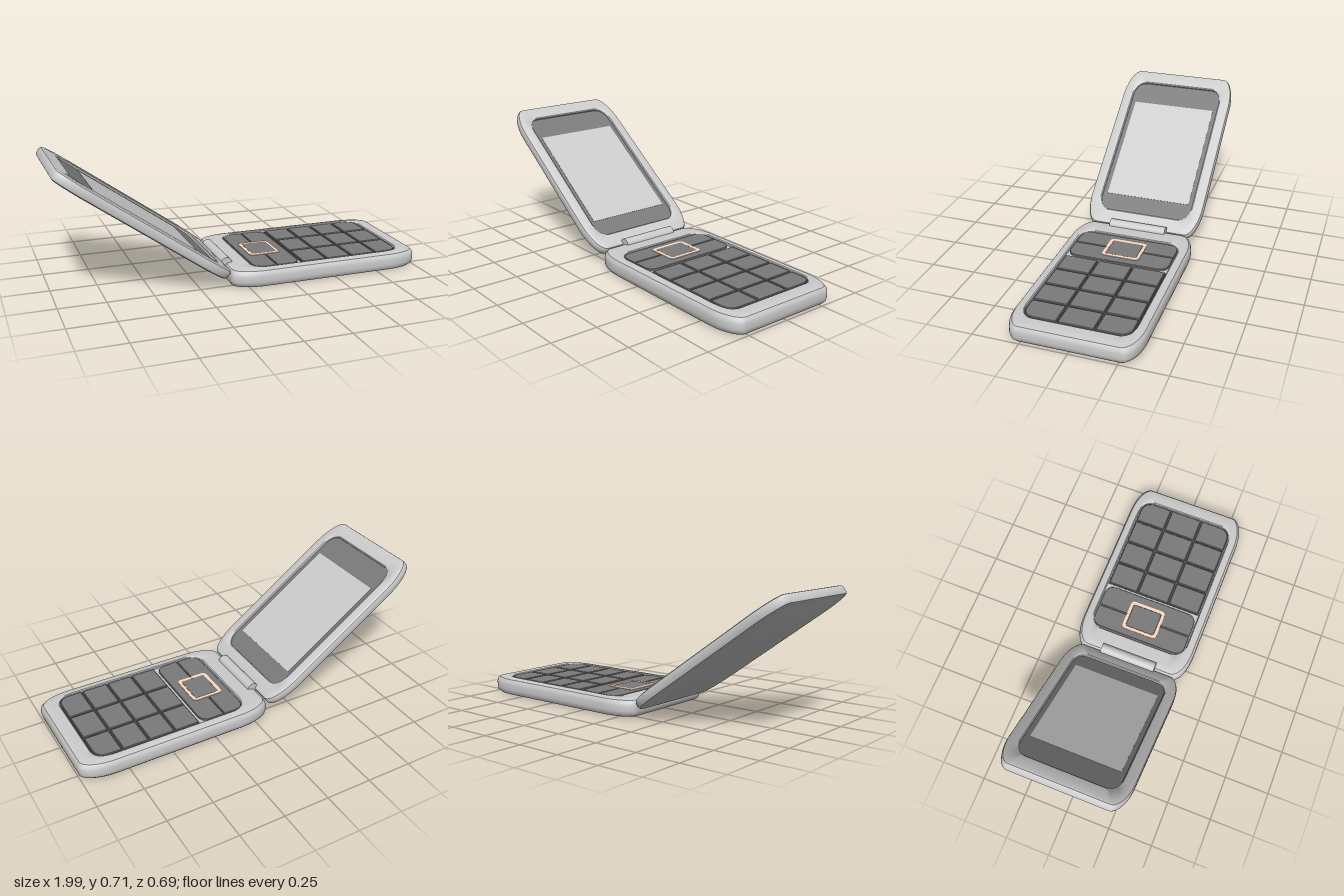
import * as THREE from 'three';
import { toCreasedNormals } from 'three/addons/utils/BufferGeometryUtils.js';

const mat = (color) => new THREE.MeshStandardMaterial({ color });
const BODY = mat(0xcccccc), DARK = mat(0x7a7a7a), GAP = mat(0x555555), GLASS = mat(0xdadada), TRIM = mat(0xffd9bf);

function add(parent, name, geometry, material) {
  const mesh = new THREE.Mesh(geometry, material);
  mesh.name = name;
  parent.add(mesh);
  return mesh;
}

// Rounded outline with elliptical corners, as a ring of [x, z]
function outline({ hx, hz, rx, rz, cx = 0 }) {
  const ring = [], steps = 10;
  for (let q = 0; q < 4; q++) {
    const sx = q === 0 || q === 3 ? 1 : -1, sz = q < 2 ? 1 : -1;
    for (let i = 0; i <= steps; i++) {
      const a = (q + i / steps) * Math.PI / 2;
      ring.push([cx + sx * (hx - rx) + rx * Math.cos(a), sz * (hz - rz) + rz * Math.sin(a)]);
    }
  }
  return ring;
}

// Case half: rounded slab with a shallow pocket sunk in its top
function caseHalf(o, edge, pocket, top, depth) {
  const point = { hx: 0, hz: 0, rx: 0, rz: 0, cx: 0 };
  const hole = (grow) => ({ ...pocket, hx: pocket.hx + grow, hz: pocket.hz + grow });
  const levels = [
    [point, 0],
    ...edge.map(([inset, y]) => [{ ...o, hx: o.hx - inset, hz: o.hz - inset }, y]),
    [hole(0.005), top], [hole(0), top - 0.004], [hole(0), top - depth],
    [{ ...point, cx: pocket.cx || 0 }, top - depth],
  ];
  const position = [], index = [];
  const n = outline(o).length;
  levels.forEach(([ring, y], k) => {
    outline(ring).forEach(([x, z], i) => {
      position.push(x, y, z);
      if (k === levels.length - 1) return;
      const a = k * n + i, b = k * n + (i + 1) % n;
      index.push(a, a + n, b, b, a + n, b + n);
    });
  });
  const g = new THREE.BufferGeometry();
  g.setAttribute('position', new THREE.Float32BufferAttribute(position, 3));
  g.setIndex(index);
  return toCreasedNormals(g, 0.6);
}

// Flat rounded rectangle; corner radii run x0z0, x1z0, x1z1, x0z1
function rectPath(path, x0, x1, z0, z1, [a, b, c, d]) {
  path.moveTo(x0, -z0 - a);
  path.quadraticCurveTo(x0, -z0, x0 + a, -z0);
  path.lineTo(x1 - b, -z0);
  path.quadraticCurveTo(x1, -z0, x1, -z0 - b);
  path.lineTo(x1, -z1 + c);
  path.quadraticCurveTo(x1, -z1, x1 - c, -z1);
  path.lineTo(x0 + d, -z1);
  path.quadraticCurveTo(x0, -z1, x0, -z1 + d);
  path.closePath();
  return path;
}

function plate(shape, y0, y1, bevel = 0) {
  const g = new THREE.ExtrudeGeometry(shape, {
    depth: y1 - y0 - bevel, bevelEnabled: bevel > 0, bevelSize: bevel, bevelThickness: bevel,
    bevelOffset: -bevel, bevelSegments: 1, curveSegments: 8,
  });
  return g.rotateX(-Math.PI / 2).translate(0, y0, 0);
}

const rect = (...args) => rectPath(new THREE.Shape(), ...args);

function createBase() {
  const base = new THREE.Group();
  base.name = 'base';
  const edge = [[0.03, 0], [0.012, 0.006], [0.003, 0.018], [0, 0.035], [0, 0.065], [0.003, 0.08], [0.012, 0.093], [0.035, 0.099], [0.05, 0.1]];
  const pocket = { hx: 0.436, hz: 0.287, rx: 0.08, rz: 0.07, cx: 0.018 };
  const shell = add(base, 'baseCase', caseHalf({ hx: 0.545, hz: 0.343, rx: 0.17, rz: 0.075 }, edge, pocket, 0.1, 0.014), BODY);
  shell.position.x = 0.455;

  // Number keys over a dark backing
  add(base, 'keyBacking', plate(rect(0.318, 0.905, -0.283, 0.283, [0, 0.07, 0.07, 0]), 0.084, 0.089), GAP);
  const cols = [0.318, 0.463, 0.611, 0.76, 0.905], rows = [-0.283, -0.101, 0.093, 0.283], gap = 0.005;
  for (let c = 0; c < 4; c++) {
    for (let r = 0; r < 3; r++) {
      const radii = [0.004, c === 3 && r === 0 ? 0.07 : 0.004, c === 3 && r === 2 ? 0.07 : 0.004, 0.004];
      const key = rect(cols[c] + gap, cols[c + 1] - gap, rows[r] + gap, rows[r + 1] - gap, radii);
      add(base, 'numberKey', plate(key, 0.086, 0.098, 0.003), DARK);
    }
  }

  // Function keys, split across the middle
  add(base, 'functionKeyUpper', plate(rect(0.046, 0.169, -0.28, 0.28, [0.06, 0.004, 0.004, 0.06]), 0.085, 0.097, 0.002), DARK);
  add(base, 'functionKeyLower', plate(rect(0.175, 0.305, -0.28, 0.28, [0.004, 0.06, 0.06, 0.004]), 0.085, 0.097, 0.002), DARK);

  // Navigation pad with its coloured frame
  const frame = rect(0.084, 0.261, -0.108, 0.102, [0.025, 0.025, 0.025, 0.025]);
  frame.holes.push(rectPath(new THREE.Path(), 0.102, 0.243, -0.09, 0.084, [0.012, 0.012, 0.012, 0.012]));
  add(base, 'navigationFrame', plate(frame, 0.09, 0.1), TRIM);
  add(base, 'navigationKey', plate(rect(0.102, 0.243, -0.09, 0.084, [0.012, 0.012, 0.012, 0.012]), 0.09, 0.099, 0.002), DARK);
  return base;
}

function createLid() {
  const lid = new THREE.Group();
  lid.name = 'lid';
  const edge = [[0.015, 0], [0.004, 0.006], [0, 0.016], [0, 0.042], [0.004, 0.053], [0.015, 0.059]];
  const pocket = { hx: 0.45, hz: 0.272, rx: 0.09, rz: 0.06 };
  add(lid, 'lidCase', caseHalf({ hx: 0.54, hz: 0.338, rx: 0.19, rz: 0.07 }, edge, pocket, 0.059, 0.014), BODY);
  const r = 0.07;
  add(lid, 'displayPanel', plate(rect(-0.449, 0.449, -0.271, 0.271, [r, r, r, r]), 0.042, 0.047), DARK);
  add(lid, 'screen', plate(rect(-0.307, 0.343, -0.246, 0.246, [0, 0, 0, 0]), 0.044, 0.0485), GLASS);
  lid.position.set(-0.56, 0.3575, 0);
  lid.rotation.z = -0.617;
  return lid;
}

export function createModel() {
  const model = new THREE.Group();
  model.name = 'flipPhone';
  model.add(createBase(), createLid());
  // Hinge barrel
  const hinge = add(model, 'hinge', new THREE.CylinderGeometry(0.032, 0.032, 0.326, 32), BODY);
  hinge.rotation.x = Math.PI / 2;
  hinge.position.set(-0.077, 0.095, 0);
  return model;
}
